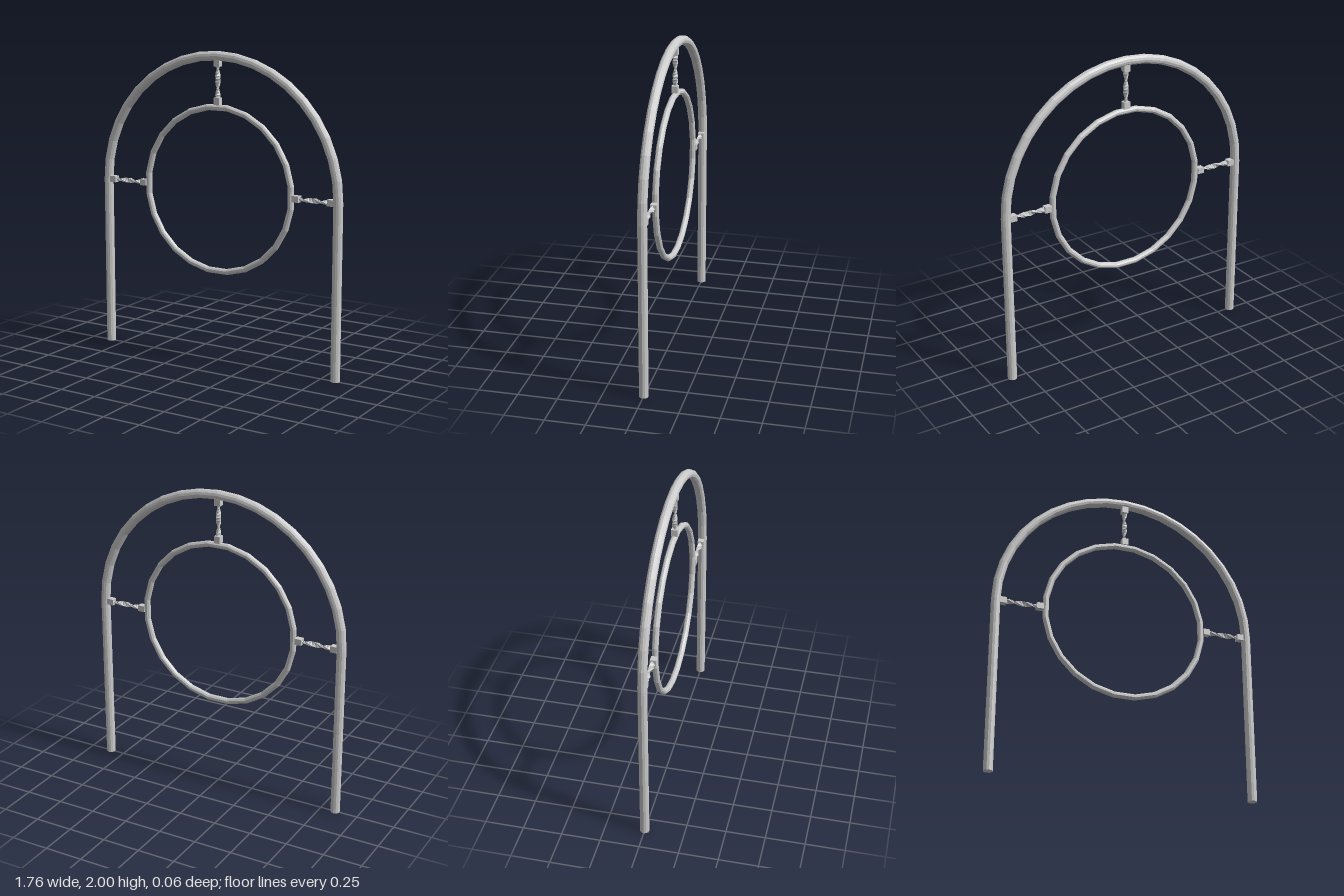
import * as THREE from 'three';

const material = new THREE.MeshStandardMaterial({ color: 0xcccccc, flatShading: true });
const CENTRE_Y = 1.12, ARCH_R = 0.85, PIPE_R = 0.03, RING_R = 0.53, RING_PIPE_R = 0.02;

function add(parent, name, geometry, x = 0, y = 0, z = 0) {
  const mesh = new THREE.Mesh(geometry, material);
  mesh.name = name;
  mesh.position.set(x, y, z);
  parent.add(mesh);
  return mesh;
}

// Flat bar along y, twisted around its own length
function twistedBar(length, width, depth, turns) {
  const geometry = new THREE.BoxGeometry(width, length, depth, 1, 12, 1);
  const p = geometry.attributes.position, v = new THREE.Vector3();
  const up = new THREE.Vector3(0, 1, 0);
  for (let i = 0; i < p.count; i++) {
    v.fromBufferAttribute(p, i);
    v.applyAxisAngle(up, (v.y / length) * turns * Math.PI * 2);
    p.setXYZ(i, v.x, v.y, v.z);
  }
  geometry.computeVertexNormals();
  return geometry;
}

// Twisted tie reaching from the ring out to the arch, built along +y
function createTie() {
  const tie = new THREE.Group();
  const inner = 0.565, outer = 0.805;
  add(tie, 'innerBlock', new THREE.BoxGeometry(0.04, 0.045, 0.04), 0, inner);
  add(tie, 'outerBlock', new THREE.BoxGeometry(0.04, 0.045, 0.04), 0, outer);
  add(tie, 'twistedBar', twistedBar(outer - inner, 0.03, 0.014, 1), 0, (inner + outer) / 2);
  return tie;
}

export function createModel() {
  const model = new THREE.Group();
  model.name = 'archwayWithHoop';

  // Arched pipe frame
  add(model, 'arch', new THREE.TorusGeometry(ARCH_R, PIPE_R, 12, 20, Math.PI), 0, CENTRE_Y);
  for (const side of [1, -1]) {
    add(model, side > 0 ? 'leftLeg' : 'rightLeg',
      new THREE.CylinderGeometry(PIPE_R, PIPE_R, CENTRE_Y, 12), side * ARCH_R, CENTRE_Y / 2);
  }

  // Hoop, turned half a step so flat segments meet the ties
  const hoop = add(model, 'hoop', new THREE.TorusGeometry(RING_R, RING_PIPE_R, 10, 24), 0, CENTRE_Y);
  hoop.rotation.z = Math.PI / 24;

  // Ties at the top and both sides
  ['topTie', 'rightTie', 'leftTie'].forEach((name, i) => {
    const tie = createTie();
    tie.name = name;
    tie.position.y = CENTRE_Y;
    tie.rotation.z = [0, 1, -1][i] * Math.PI / 2;
    model.add(tie);
  });
  return model;
}
